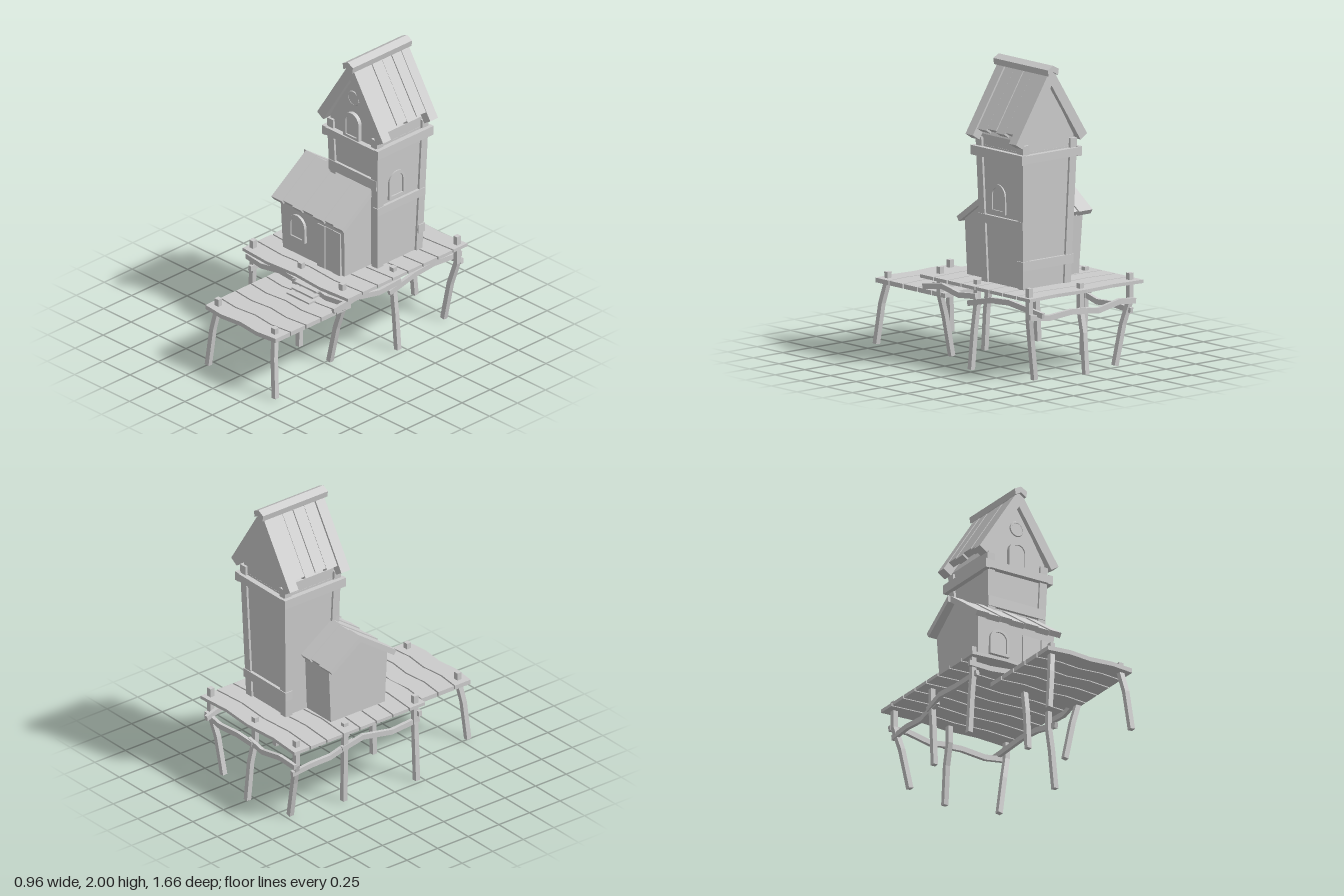
import * as THREE from 'three';

const mat = new THREE.MeshStandardMaterial({ color: 0xcccccc, flatShading: true, side: THREE.DoubleSide });

function add(parent, name, geo, x = 0, y = 0, z = 0) {
  const m = new THREE.Mesh(geo, mat);
  m.name = name;
  m.position.set(x, y, z);
  parent.add(m);
  return m;
}

// Box given by its limits
function block(parent, name, x0, x1, y0, y1, z0, z1) {
  return add(parent, name, new THREE.BoxGeometry(x1 - x0, y1 - y0, z1 - z0),
    (x0 + x1) / 2, (y0 + y1) / 2, (z0 + z1) / 2);
}

function extrude(points, depth) {
  const shape = new THREE.Shape(points.map(p => new THREE.Vector2(p[0], p[1])));
  return new THREE.ExtrudeGeometry(shape, { depth, bevelEnabled: false });
}

// Crooked square timber following a polyline
function timber(parent, name, path, w, h = w) {
  const pts = path.map(p => new THREE.Vector3(...p));
  const pos = [], idx = [], n = pts.length;
  pts.forEach((p, i) => {
    const t = pts[Math.min(i + 1, n - 1)].clone().sub(pts[Math.max(i - 1, 0)]).normalize();
    const ref = Math.abs(t.y) > 0.8 ? new THREE.Vector3(0, 0, 1) : new THREE.Vector3(0, 1, 0);
    const a = ref.clone().cross(t).normalize(), b = t.clone().cross(a);
    for (const [u, v] of [[-1, -1], [1, -1], [1, 1], [-1, 1]]) {
      const q = p.clone().addScaledVector(a, u * w / 2).addScaledVector(b, v * h / 2);
      pos.push(q.x, q.y, q.z);
    }
    if (i) for (let k = 0; k < 4; k++) {
      const c = (i - 1) * 4 + k, d = (i - 1) * 4 + (k + 1) % 4;
      idx.push(c, d, d + 4, c, d + 4, c + 4);
    }
  });
  const e = (n - 1) * 4;
  idx.push(0, 2, 1, 0, 3, 2, e, e + 1, e + 2, e, e + 2, e + 3);
  const g = new THREE.BufferGeometry();
  g.setAttribute('position', new THREE.Float32BufferAttribute(pos, 3));
  g.setIndex(idx);
  const flat = g.toNonIndexed();
  flat.computeVertexNormals();
  return add(parent, name, flat);
}

// Row of planks with wavy edges
function deck(parent, name, x0, x1, y, h, z0, z1, count) {
  const step = (z1 - z0) / count;
  for (let i = 0; i < count; i++) {
    const g = new THREE.BoxGeometry(x1 - x0, h, step - 0.011, 4, 1, 1), p = g.attributes.position;
    for (let k = 0; k < p.count; k++) {
      const s = Math.round((p.getX(k) / (x1 - x0) + 0.5) * 4);
      p.setZ(k, p.getZ(k) + (s % 2 ? 0.01 : -0.008));
    }
    add(parent, name, g, (x0 + x1) / 2, y, z0 + step * (i + 0.5));
  }
}

function archPath(Type, w, h, inset) {
  const r = w / 2 - inset, s = new Type();
  s.moveTo(-r, inset);
  s.lineTo(r, inset);
  s.lineTo(r, h - w / 2);
  s.absarc(0, h - w / 2, r, 0, Math.PI, false);
  s.lineTo(-r, inset);
  return s;
}

// Arched window: frame and recessed pane, facing +z
function archWindow(parent, name, w, h, x, y, z, turn = 0) {
  const g = new THREE.Group();
  g.name = name;
  const frame = archPath(THREE.Shape, w, h, 0);
  frame.holes.push(archPath(THREE.Path, w, h, 0.02));
  const opt = d => ({ depth: d, bevelEnabled: false, curveSegments: 10 });
  add(g, 'windowFrame', new THREE.ExtrudeGeometry(frame, opt(0.03)));
  add(g, 'windowPane', new THREE.ExtrudeGeometry(archPath(THREE.Shape, w, h, 0.018), opt(0.02)));
  g.position.set(x, y, z);
  g.rotation.y = turn;
  parent.add(g);
}

// One sloping roof board; profile starts at the ridge, side is +1 or -1
function roofBoard(run, drop, thick, side, width) {
  const len = Math.hypot(run, drop), v = thick * len / run;
  return extrude([[0, 0], [side * run, -drop],
    [side * (run - thick * drop / len), -drop - thick * run / len], [0, -v]], width);
}

function buildTower() {
  const g = new THREE.Group();
  g.name = 'tower';
  const cx = 0.12, cz = -0.355, half = y => 0.2 + 0.03 * (y - 0.55);
  // Walls flare outwards towards the top
  const wall = new THREE.BoxGeometry(1, 0.9, 1), p = wall.attributes.position;
  for (let i = 0; i < p.count; i++) {
    const s = 2 * (half(p.getY(i) + 1) - 0.014);
    p.setX(i, p.getX(i) * s);
    p.setZ(i, p.getZ(i) * s);
  }
  add(g, 'towerWalls', wall, cx, 1.0, cz);
  for (const sx of [-1, 1]) for (const sz of [-1, 1]) {
    const at = y => [cx + sx * (half(y) - 0.026), y, cz + sz * (half(y) - 0.026)];
    timber(g, 'cornerPost', [at(0.55), at(1.5)], 0.055);
  }
  // Band under the gable and single rails
  for (const s of [-1, 1]) {
    block(g, 'bandBeam', cx - 0.23, cx + 0.23, 1.385, 1.438, cz + s * 0.23 - 0.02, cz + s * 0.23 + 0.02);
    block(g, 'bandBeam', cx + s * 0.238 - 0.017, cx + s * 0.238 + 0.017, 1.38, 1.442, cz - 0.25, cz + 0.25);
  }
  block(g, 'frontRail', -0.1, 0.335, 1.13, 1.2, -0.16, -0.13);
  block(g, 'sideRail', 0.3, 0.34, 0.945, 1.0, -0.565, -0.135);
  block(g, 'backRail', -0.095, 0.335, 0.68, 0.74, -0.568, -0.51);
  // Gable
  add(g, 'gableWall', extrude([[-0.21, 1.4], [0.21, 1.4], [0.213, 1.52], [0, 1.89], [-0.213, 1.52]], 0.425), cx, 0, -0.567);
  archWindow(g, 'gableWindow', 0.14, 0.185, cx, 1.435, -0.145);
  archWindow(g, 'sideWindow', 0.145, 0.19, 0.305, 1.02, -0.32, Math.PI / 2);
  add(g, 'roundWindowFrame', new THREE.TorusGeometry(0.045, 0.008, 6, 20), cx, 1.72, -0.14);
  add(g, 'roundWindowPane', new THREE.CylinderGeometry(0.045, 0.045, 0.01, 20).rotateX(Math.PI / 2), cx, 1.72, -0.14);
  // Roof boards, longer and thicker at both ends
  const cuts = [-0.6, -0.53, -0.445, -0.36, -0.27, -0.18, -0.108];
  for (const s of [-1, 1]) for (let i = 0; i < 6; i++) {
    const end = i === 0 || i === 5, run = end ? 0.3 : 0.265 - 0.004 * (i % 2);
    add(g, end ? 'bargeBoard' : 'roofBoard',
      roofBoard(run, run * 1.567, end ? 0.065 : 0.045, s, cuts[i + 1] - cuts[i] - (end ? 0 : 0.004)),
      cx, end ? 1.99 : 1.975 + 0.006 * (i % 2), cuts[i]);
  }
  add(g, 'ridgeCap', extrude([[0, 2], [0.047, 1.976], [0.04, 1.935], [0, 1.96], [-0.04, 1.935], [-0.047, 1.976]], 0.53), cx, 0, -0.617);
  return g;
}

function buildShed() {
  const g = new THREE.Group();
  g.name = 'shed';
  // Body profile drawn in z and y, run along x, flaring upwards
  const body = extrude([[-0.07, 0.55], [-0.083, 0.93], [0.175, 1.1], [0.395, 0.94], [0.37, 0.55]], 0.56);
  body.rotateY(Math.PI / 2);
  const p = body.attributes.position;
  for (let i = 0; i < p.count; i++)
    p.setX(i, (p.getX(i) - 0.28) * (1 + 0.1 * (p.getY(i) - 0.55)));
  add(g, 'shedWalls', body, -0.03, 0, 0);
  archWindow(g, 'shedWindow', 0.145, 0.18, -0.16, 0.67, 0.068);
  for (let i = 0; i < 3; i++)
    block(g, 'doorBoard', 0.02 + i * 0.07, 0.088 + i * 0.07, 0.555, 0.862, 0.05, 0.088 - 0.004 * (i % 2));
  // Roof boards on both slopes
  const slope = (cuts, run, side) => {
    for (let i = 0; i + 1 < cuts.length; i++) {
      const r = run - 0.012 * (i % 2);
      const geo = roofBoard(r, r * 0.7, 0.036, side, cuts[i + 1] - cuts[i] - 0.003);
      add(g, 'shedRoofBoard', geo.rotateY(Math.PI / 2), cuts[i], 1.145 - 0.008 * (i % 2), -0.18);
    }
  };
  slope([-0.355, -0.26, -0.165, -0.085, 0.02, 0.115, 0.205, 0.29], 0.31, -1);
  slope([-0.375, -0.26, -0.165, -0.06], 0.25, 1);
  return g;
}

function buildPier() {
  const g = new THREE.Group();
  g.name = 'pier';
  deck(g, 'upperDeckPlank', -0.48, 0.48, 0.545, 0.022, -0.8, 0.277, 8);
  deck(g, 'lowerDeckPlank', -0.26, 0.38, 0.42, 0.03, 0.14, 0.825, 5);
  // Legs: top x, top z, foot x, foot z, top height
  const legs = [
    [-0.42, -0.74, -0.32, -0.71, 0.6], [0, -0.74, 0.005, -0.8, 0.59], [0.44, -0.75, 0.36, -0.71, 0.615],
    [-0.4, -0.33, -0.385, -0.325, 0.58], [0.41, -0.21, 0.455, -0.205, 0.585], [-0.44, 0.21, -0.465, 0.205, 0.61],
    [-0.03, 0.18, -0.02, 0.21, 0.595], [0.365, 0.2, 0.26, 0.21, 0.6],
    [-0.2, 0.755, -0.245, 0.8, 0.485], [0.32, 0.76, 0.375, 0.81, 0.475]];
  for (const [tx, tz, fx, fz, ty] of legs)
    timber(g, 'leg', [[fx, 0.005, fz], [fx * 0.45 + tx * 0.55, 0.27, fz * 0.6 + tz * 0.4],
      [tx, 0.42, tz], [tx, ty, tz]], 0.034);
  // Crooked bracing between the legs
  const braces = [
    [[0.4, 0.46, 0.32], [0.41, 0.49, 0.12], [0.43, 0.465, -0.06], [0.44, 0.485, -0.24]],
    [[0.43, 0.425, -0.15], [0.435, 0.48, -0.38], [0.43, 0.49, -0.55], [0.39, 0.44, -0.83]],
    [[-0.43, 0.42, 0.25], [-0.44, 0.41, 0.02], [-0.42, 0.44, -0.2], [-0.41, 0.4, -0.36]],
    [[-0.4, 0.42, -0.26], [-0.4, 0.37, -0.45], [-0.41, 0.375, -0.6], [-0.41, 0.36, -0.77]],
    [[-0.48, 0.485, 0.225], [-0.33, 0.475, 0.235], [-0.18, 0.495, 0.225], [0.02, 0.47, 0.215]],
    [[-0.06, 0.47, 0.225], [0.1, 0.49, 0.225], [0.25, 0.47, 0.235], [0.4, 0.48, 0.225]],
    [[-0.44, 0.42, -0.765], [-0.3, 0.435, -0.775], [-0.12, 0.4, -0.775], [0.03, 0.42, -0.765]],
    [[-0.02, 0.41, -0.775], [0.12, 0.425, -0.785], [0.3, 0.41, -0.785], [0.46, 0.43, -0.775]]];
  for (const path of braces) timber(g, 'brace', path, 0.024, 0.036);
  // Steps between the decks
  for (let i = 0; i < 3; i++)
    block(g, 'step', 0.02 + 0.01 * (i % 2), 0.225, 0.508 - i * 0.028, 0.52 - i * 0.028, 0.235 + i * 0.035, 0.295 + i * 0.033);
  for (const x of [0.06, 0.19])
    timber(g, 'stepSupport', [[x, 0.51, 0.25], [x, 0.44, 0.33]], 0.018);
  return g;
}

export function createModel() {
  const model = new THREE.Group();
  model.name = 'pierHouse';
  model.add(buildTower(), buildShed(), buildPier());
  return model;
}
